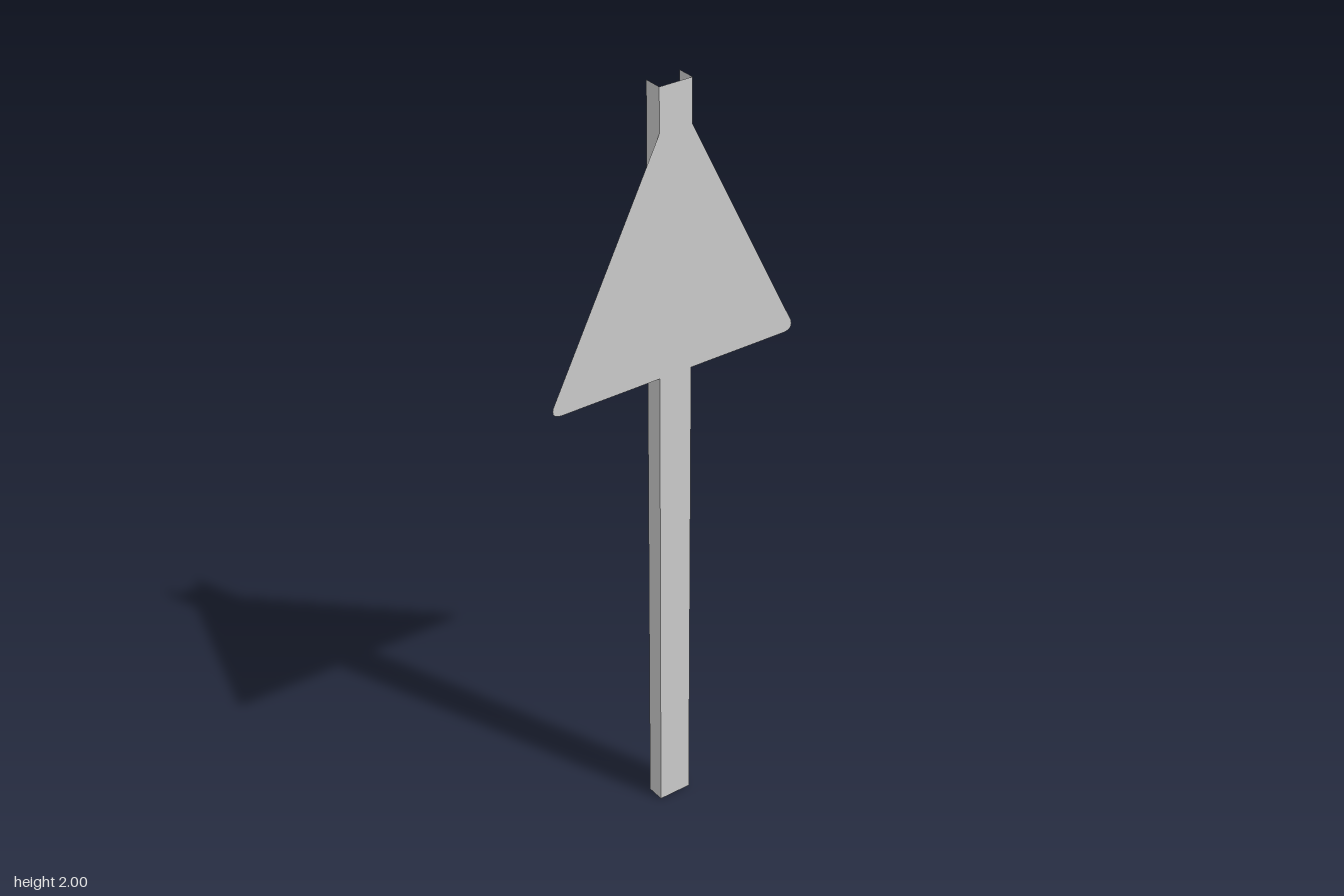
import * as THREE from 'three';

const HALF_X = 0.024;   // half depth of the channel
const HALF_Z = 0.045;   // half width of the channel
const HEIGHT = 2;

export function createModel() {
  const group = new THREE.Group();
  const material = new THREE.MeshStandardMaterial({ color: 0xcccccc, side: THREE.DoubleSide, flatShading: true });

  // Sheet panel: post web and triangular sign cut as one outline
  const outline = new THREE.Shape();
  outline.moveTo(-HALF_Z, 0);
  outline.lineTo(HALF_Z, 0);
  outline.lineTo(HALF_Z, 1.268);
  outline.lineTo(0.318, 1.268);
  outline.bezierCurveTo(0.338, 1.268, 0.348, 1.277, 0.342, 1.295);
  outline.lineTo(HALF_Z, 1.889);
  outline.lineTo(HALF_Z, HEIGHT);
  outline.lineTo(-HALF_Z, HEIGHT);
  outline.lineTo(-HALF_Z, 1.889);
  outline.lineTo(-0.342, 1.295);
  outline.bezierCurveTo(-0.348, 1.277, -0.338, 1.268, -0.318, 1.268);
  outline.lineTo(-HALF_Z, 1.268);
  outline.closePath();
  const panel = new THREE.Mesh(new THREE.ShapeGeometry(outline, 6), material);
  panel.name = 'signAndWeb';
  panel.rotation.y = Math.PI / 2;
  panel.position.x = HALF_X;
  group.add(panel);

  // Two flanges that make the post an open channel
  for (const side of [1, -1]) {
    const flange = new THREE.Mesh(new THREE.PlaneGeometry(HALF_X * 2, HEIGHT), material);
    flange.name = side > 0 ? 'frontFlange' : 'backFlange';
    flange.position.set(0, HEIGHT / 2, side * HALF_Z);
    if (side < 0) flange.rotation.y = Math.PI;
    group.add(flange);
  }
  return group;
}
